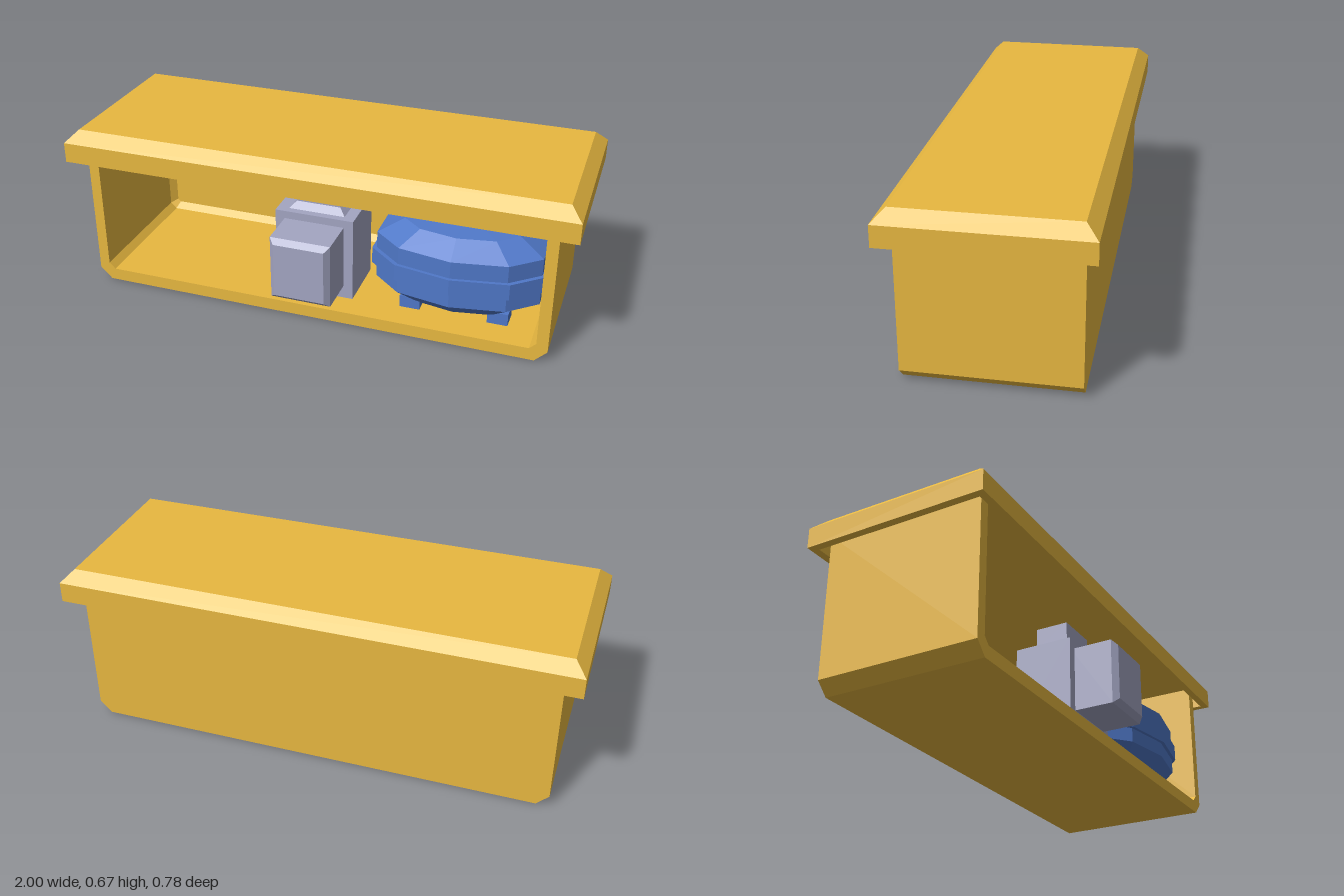
import * as THREE from 'three';

const paint = (color) => new THREE.MeshStandardMaterial({ color, flatShading: true });

// Joins [height, outline] rings along z and closes both ends (outlines are convex, counter-clockwise)
function loft(rings) {
  const pos = [];
  const tri = (...pts) => pts.forEach((p) => pos.push(...p));
  const loops = rings.map(([h, pts]) => pts.map(([x, y]) => [x, y, h]));
  const n = loops[0].length;
  for (let k = 0; k < loops.length - 1; k++) {
    const a = loops[k], b = loops[k + 1];
    for (let i = 0; i < n; i++) {
      const j = (i + 1) % n;
      tri(a[i], a[j], b[j]);
      tri(a[i], b[j], b[i]);
    }
  }
  const s = loops[0], e = loops[loops.length - 1];
  for (let i = 1; i < n - 1; i++) {
    tri(s[0], s[i + 1], s[i]);
    tri(e[0], e[i], e[i + 1]);
  }
  const g = new THREE.BufferGeometry();
  g.setAttribute('position', new THREE.Float32BufferAttribute(pos, 3));
  g.computeVertexNormals();
  return g;
}
// Same, but stacked upwards: outline is (x, -z), height is y
const loftUp = (rings) => loft(rings).rotateX(-Math.PI / 2);

const rect = (x0, x1, y0, y1) => [[x0, y0], [x1, y0], [x1, y1], [x0, y1]];
// Rectangle with chamfered lower corners
const trough = (x0, x1, y0, y1, c) =>
  [[x0 + c, y0], [x1 - c, y0], [x1, y0 + c], [x1, y1], [x0, y1], [x0, y0 + c]];

export function createModel() {
  const root = new THREE.Group();
  const yellow = paint(0xe8b840), grey = paint(0xa3a5c2), blue = paint(0x5078c8);
  const add = (parent, name, geo, mat) => {
    const m = new THREE.Mesh(geo, mat);
    m.name = name;
    parent.add(m);
    return m;
  };

  // Open-fronted box: outer shell, front rim, then the cavity
  const outer = trough(-0.93, 0.927, 0, 0.615, 0.047);
  const inner = trough(-0.888, 0.883, 0.05, 0.6, 0.025);
  const innerBack = trough(-0.863, 0.858, 0.075, 0.6, 0.012);
  add(root, 'openBox', loft([
    [-0.345, outer], [0.288, outer], [0.288, inner], [-0.275, inner], [-0.3, innerBack],
  ]), yellow);

  // Overhanging lid with a recessed underside and bevelled top
  const lidRing = (d) => rect(-1 + d, 1 - d, -0.338 + d, 0.39 - d);
  add(root, 'lid', loftUp([
    [0.612, lidRing(0.03)], [0.543, lidRing(0.03)], [0.543, lidRing(0)],
    [0.623, lidRing(0)], [0.669, lidRing(0.046)],
  ]), yellow);

  // Grey device: notched plate, neck and projecting front block
  const device = new THREE.Group();
  device.name = 'greyDevice';
  root.add(device);
  const plate = new THREE.Shape([
    [-0.168, 0.07], [-0.1, 0.07], [-0.055, 0.097], [0.04, 0.097], [0.085, 0.07],
    [0.148, 0.07], [0.148, 0.414], [-0.168, 0.414],
  ].map(([x, y]) => new THREE.Vector2(x, y)));
  add(device, 'devicePlate',
    new THREE.ExtrudeGeometry(plate, { depth: 0.235, bevelEnabled: false }).translate(0, 0, -0.02), grey);
  const neckTop = rect(-0.097, 0.08, -0.165, -0.03);
  add(device, 'deviceNeck', loftUp([
    [0.41, rect(-0.126, 0.108, -0.19, -0.005)], [0.44, neckTop], [0.525, neckTop],
  ]), grey);
  const block = rect(-0.13, 0.11, 0.122, 0.383);
  add(device, 'deviceFrontBlock', loft([
    [0.2, block], [0.37, block], [0.391, rect(-0.11, 0.09, 0.142, 0.363)],
  ]), grey);

  // Blue unit: faceted shell with a raised belt, on four feet
  const unit = new THREE.Group();
  unit.name = 'blueUnit';
  unit.position.set(0.543, 0, 0.015);
  root.add(unit);
  const half = [[0.337, -0.135], [0.337, 0.135], [0.22, 0.235], [0, 0.275]];
  const plan = [...half, [-0.22, 0.235], [-0.337, 0.135], [-0.337, -0.135],
    [-0.22, -0.235], [0, -0.275], [0.22, -0.235]];
  const scaled = (s) => plan.map(([x, z]) => [x * s, z * s]);
  add(unit, 'unitShell', loftUp([
    [0.085, scaled(0.66)], [0.155, scaled(0.95)], [0.35, scaled(0.95)],
    [0.408, scaled(0.66)], [0.418, scaled(0.2)],
  ]), blue);
  add(unit, 'unitBelt', loftUp([[0.215, plan], [0.281, plan]]), blue);
  for (const sx of [-1, 1]) {
    for (const sz of [-1, 1]) {
      const foot = add(unit, 'unitFoot', new THREE.BoxGeometry(0.08, 0.05, 0.08), blue);
      foot.position.set(sx * 0.173, 0.08, sz * 0.125);
    }
  }
  return root;
}
